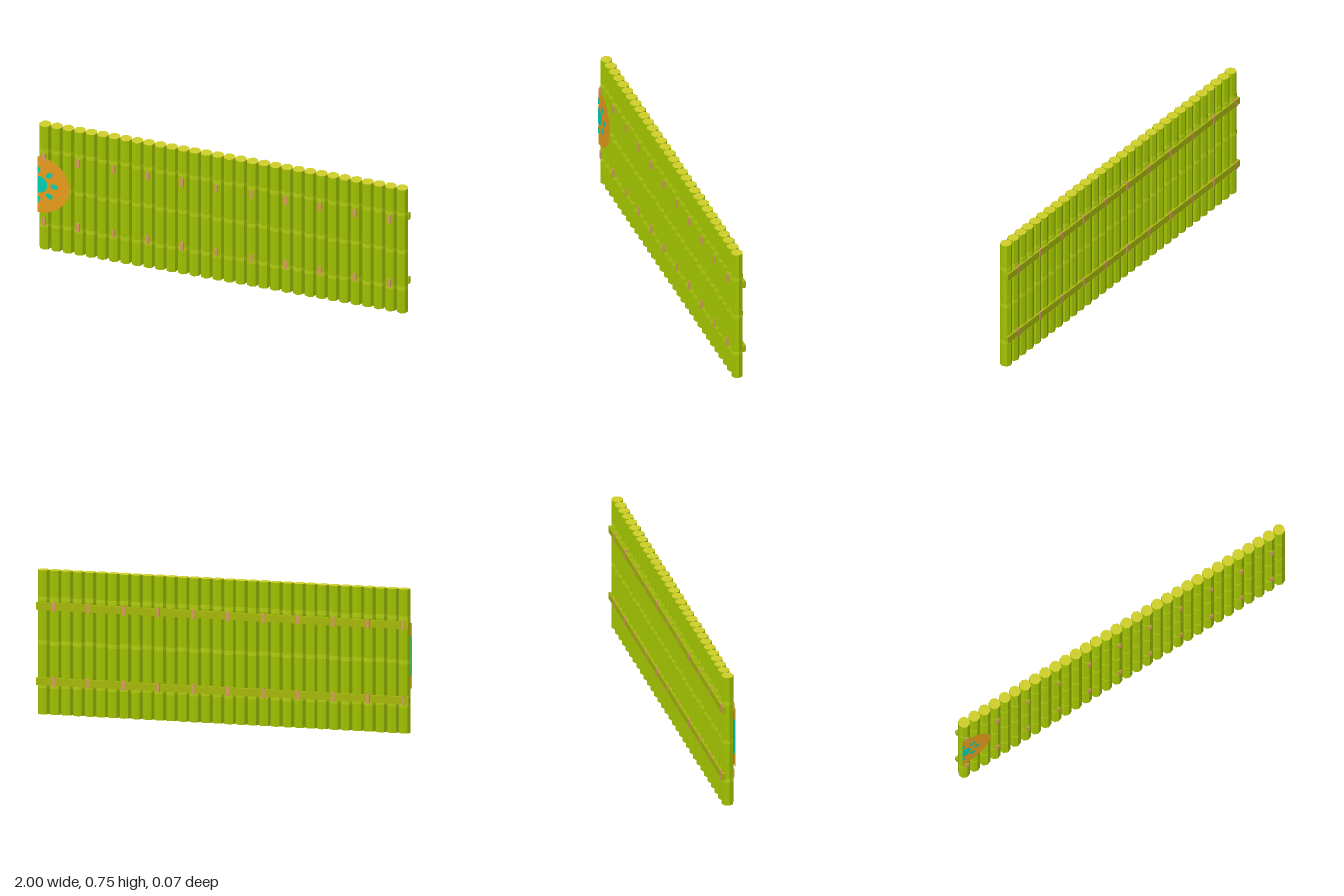
import * as THREE from 'three';

const mat = (name, color, side = THREE.FrontSide) => {
  const m = new THREE.MeshStandardMaterial({ color, side, flatShading: true });
  m.name = name;
  return m;
};

export function createModel() {
  const fence = new THREE.Group();
  fence.name = 'bambooFence';
  const bamboo = mat('bambooGreen', 0xa2c400);
  const cut = mat('cutEnd', 0xd0cf2a);
  const joint = mat('jointGreen', 0xb4d010);
  const rail = mat('railOlive', 0xa8b80c);
  const rope = mat('ropeTan', 0xd89c60);
  const orange = mat('discOrange', 0xe89c1c, THREE.DoubleSide);
  const teal = mat('emblemTeal', 0x00d0b4, THREE.DoubleSide);

  const add = (name, geo, material, x, y, z, parent = fence) => {
    const m = new THREE.Mesh(geo, material);
    m.name = name;
    m.position.set(x, y, z);
    parent.add(m);
    return m;
  };

  // Upright canes with three pale joints each
  const count = 32, R = 0.0314, H = 0.755, first = -0.9686;
  const step = -2 * first / (count - 1);
  const caneGeo = new THREE.CylinderGeometry(R, R, H, 8);
  const jointGeo = new THREE.CylinderGeometry(R + 0.0004, R + 0.0004, 0.022, 8, 1, true);
  for (let i = 0; i < count; i++) {
    const x = first + i * step;
    add('cane', caneGeo, [bamboo, cut, cut], x, H / 2, 0);
    const shift = ((i * 7) % 5 - 2) * 0.0018;
    for (const y of [0.15, 0.377, 0.606]) add('caneJoint', jointGeo, joint, x, y + shift, 0);
  }

  // Two rails along the back, lashed to every third cane
  const railGeo = new THREE.BoxGeometry(2, 0.038, 0.018);
  const tieGeo = new THREE.BoxGeometry(0.018, 0.048, 0.073);
  for (const y of [0.174, 0.568]) {
    add('backRail', railGeo, rail, 0, y, -0.028);
    for (let i = 0; i < count; i += 3) add('ropeTie', tieGeo, rope, first + i * step, y, -0.002);
  }

  // Thin half disc on the front at the right end
  const sign = new THREE.Group();
  sign.name = 'endDisc';
  sign.position.set(-1, 0.398, 0);
  fence.add(sign);
  const half = r => new THREE.CircleGeometry(r, 32, -Math.PI / 2, Math.PI);
  add('discFace', half(0.172), orange, 0, 0, 0.0325, sign);
  add('emblemCentre', half(0.052), teal, 0, 0, 0.0335, sign);
  for (let k = -2; k <= 2; k++) {
    const a = k * Math.PI / 4;
    const whole = Math.abs(k) < 2;
    const petalGeo = whole ? new THREE.CircleGeometry(1, 10)
      : new THREE.CircleGeometry(1, 8, k > 0 ? -Math.PI : 0, Math.PI);
    const petal = add('emblemPetal', petalGeo, teal, Math.cos(a) * 0.09, Math.sin(a) * 0.09, 0.0335, sign);
    petal.rotation.z = a;
    petal.scale.set(0.021, 0.015, 1);
  }

  // Emblem showing on the back of the disc, past the last cane
  add('emblemBack', new THREE.PlaneGeometry(0.028, 0.2), teal, 0.014, 0, 0.0319, sign);

  return fence;
}
